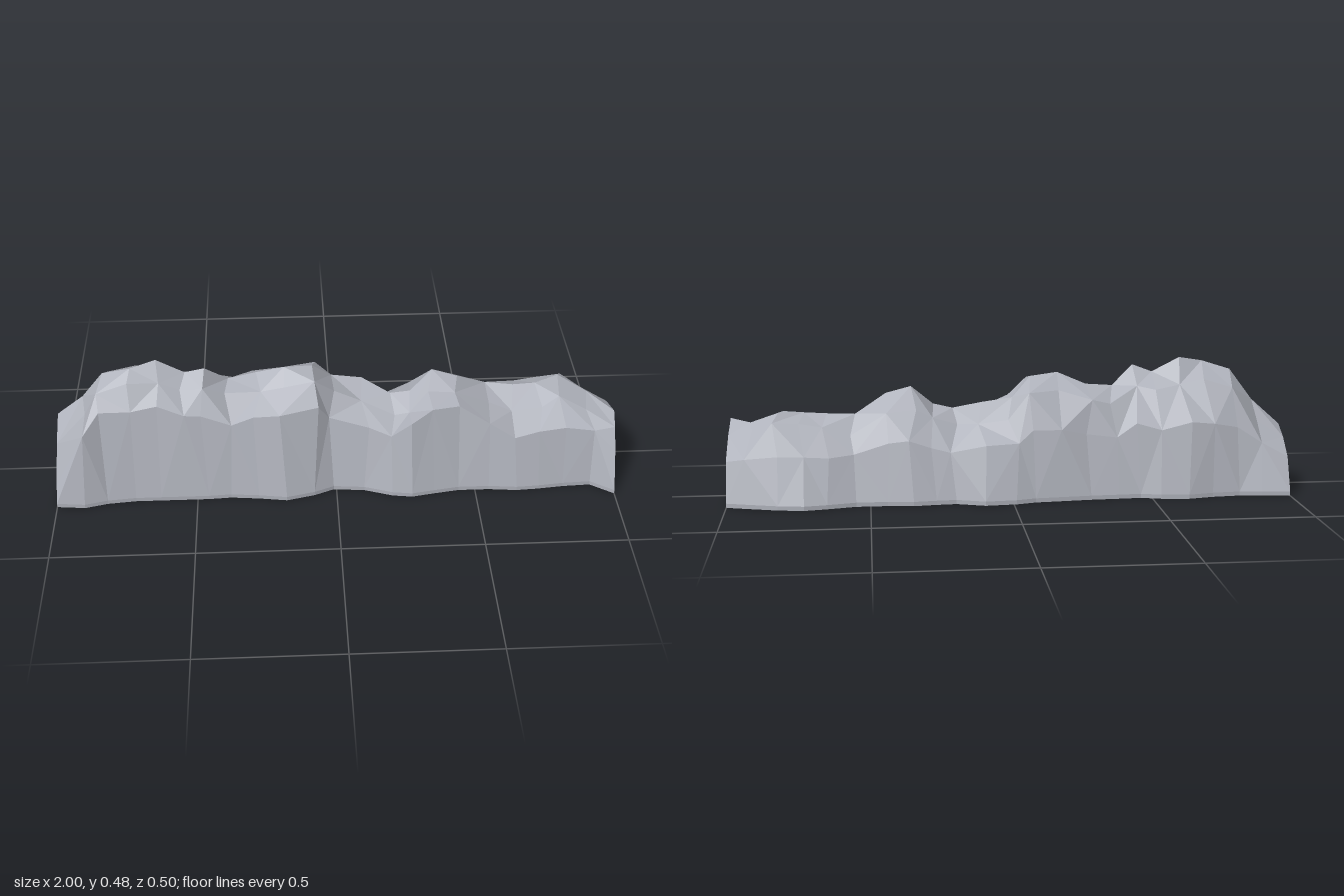
import * as THREE from 'three';

// Stations along the ridge: x, front foot z, back foot z, crest y, crest z, front shoulder y
const STATIONS = [
  [-1, 0.23, -0.2, 0.23, -0.02, 0.07],
  [-0.9, 0.24, -0.19, 0.32, 0, 0.27],
  [-0.82, 0.22, -0.18, 0.43, 0.02, 0.35],
  [-0.72, 0.21, -0.19, 0.46, 0.04, 0.34],
  [-0.63, 0.21, -0.21, 0.477, 0.015, 0.37],
  [-0.53, 0.21, -0.2, 0.425, 0.02, 0.32],
  [-0.46, 0.21, -0.18, 0.45, 0.035, 0.33],
  [-0.38, 0.205, -0.185, 0.38, 0, 0.28],
  [-0.28, 0.215, -0.19, 0.39, -0.02, 0.32],
  [-0.18, 0.23, -0.2, 0.43, 0.01, 0.33],
  [-0.08, 0.205, -0.21, 0.42, -0.01, 0.33],
  [-0.01, 0.175, -0.23, 0.35, -0.05, 0.28],
  [0.1, 0.185, -0.24, 0.335, -0.05, 0.25],
  [0.2, 0.22, -0.205, 0.305, 0.01, 0.22],
  [0.27, 0.23, -0.21, 0.32, 0.02, 0.28],
  [0.35, 0.215, -0.22, 0.39, -0.01, 0.33],
  [0.44, 0.2, -0.21, 0.365, 0, 0.33],
  [0.55, 0.2, -0.21, 0.3, -0.05, 0.25],
  [0.65, 0.21, -0.235, 0.3, -0.03, 0.21],
  [0.73, 0.205, -0.25, 0.305, -0.03, 0.23],
  [0.82, 0.195, -0.235, 0.31, -0.07, 0.23],
  [0.92, 0.19, -0.205, 0.27, -0.02, 0.21],
  [1, 0.245, -0.18, 0.265, 0.1, 0.15],
];

// Small seeded generator, -1 to 1
function makeJitter(seed) {
  return () => {
    seed = (seed * 16807) % 2147483647;
    return (seed / 2147483647) * 2 - 1;
  };
}

// Cross-section running from the front foot over the crest to the back foot
function section([x, zf, zb, top, zc, shoulder], isEnd, jitter) {
  const zs = zf - 0.2 * shoulder - (isEnd ? 0.03 : 0);
  const zk = zb * 0.76, back = top * 0.58;
  const mix = THREE.MathUtils.lerp;
  const points = [
    [zf, 0], [zf, 0.015],
    [zs, shoulder],
    [mix(zs, zc, 0.52), mix(shoulder, top, 0.62)],
    [zc, top],
    [mix(zk, zc, 0.5), mix(back, top, 0.62)],
    [zk, back],
    [zb, 0.015], [zb, 0],
  ];
  return points.map(([z, y], j) => {
    const rough = !isEnd && j > 1 && j < 7 ? 1 : 0;
    const crest = j === 4 ? 0 : rough;
    const mid = j === 3 || j === 5 ? 1.5 : 0.6;
    return new THREE.Vector3(
      x + jitter() * 0.02 * crest,
      y + jitter() * 0.016 * crest * mid,
      z + jitter() * 0.012 * crest * mid);
  });
}

function ridgeGeometry() {
  const jitter = makeJitter(417);
  const last = STATIONS.length - 1;
  const rings = STATIONS.map((s, i) => section(s, i === 0 || i === last, jitter));
  const n = rings[0].length;
  const positions = [];
  const tri = (...corners) => corners.forEach((p) => positions.push(p.x, p.y, p.z));

  // Sides and underside, with the split of each facet alternating
  for (let i = 0; i < last; i++) {
    for (let j = 0; j < n; j++) {
      const k = (j + 1) % n;
      const a = rings[i][j], b = rings[i + 1][j], c = rings[i + 1][k], d = rings[i][k];
      if ((i + j) % 2) { tri(a, b, c); tri(a, c, d); }
      else { tri(a, b, d); tri(b, c, d); }
    }
  }
  // Flat ends
  for (let j = 1; j < n - 1; j++) {
    tri(rings[0][0], rings[0][j], rings[0][j + 1]);
    tri(rings[last][0], rings[last][j + 1], rings[last][j]);
  }
  const geometry = new THREE.BufferGeometry();
  geometry.setAttribute('position', new THREE.Float32BufferAttribute(positions, 3));
  geometry.computeVertexNormals();
  return geometry;
}

export function createModel() {
  const stone = new THREE.MeshStandardMaterial({ color: 0xb0b3bc, flatShading: true });
  stone.name = 'grey stone';
  const ridge = new THREE.Mesh(ridgeGeometry(), stone);
  ridge.name = 'rockRidge';
  const group = new THREE.Group();
  group.name = 'rockWall';
  group.add(ridge);
  return group;
}
